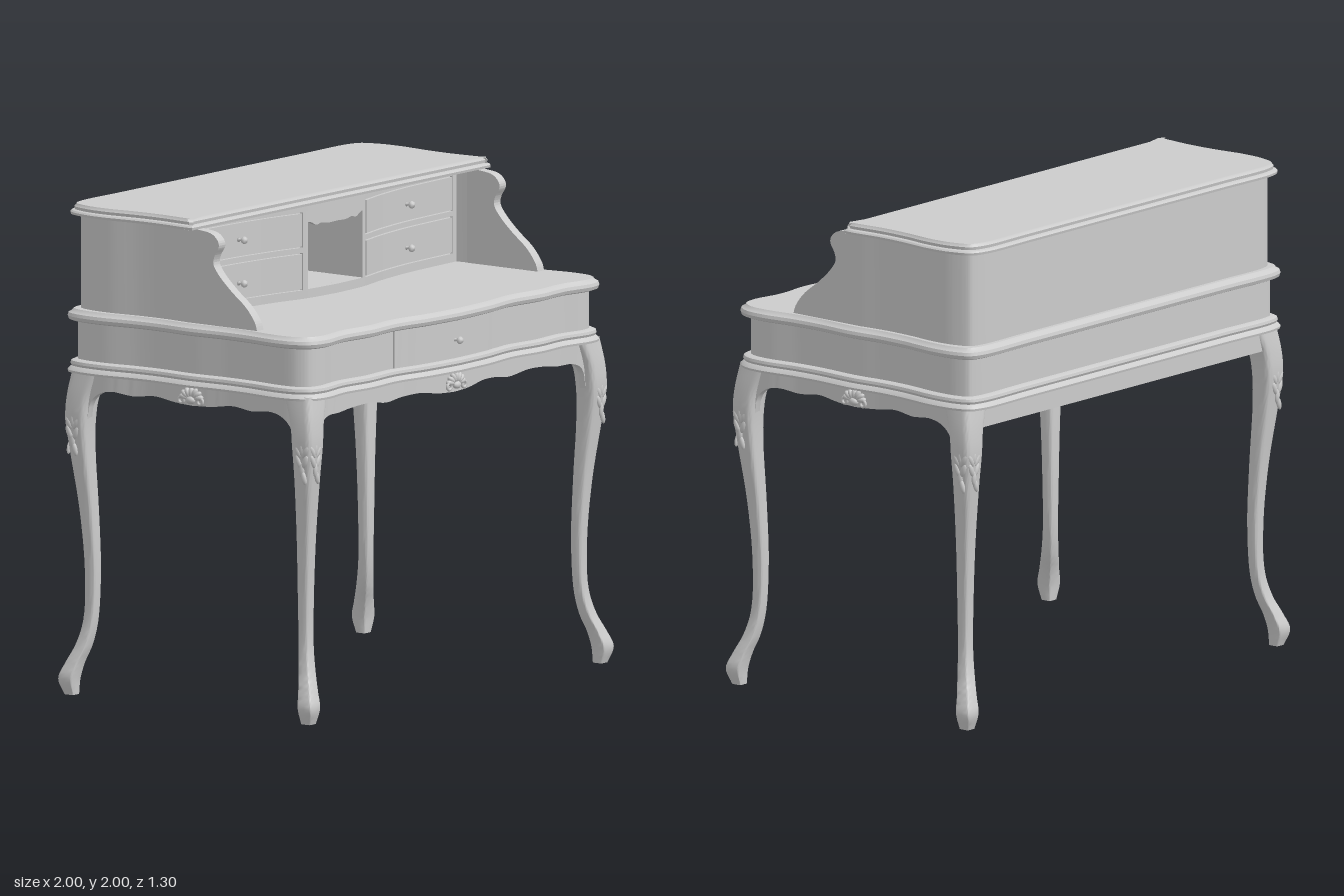
import * as THREE from 'three';
import { toCreasedNormals } from 'three/addons/utils/BufferGeometryUtils.js';

const material = new THREE.MeshStandardMaterial({ color: 0xcccccc, side: THREE.DoubleSide });
const V3 = (x, y, z) => new THREE.Vector3(x, y, z);

function add(parent, name, geometry, x = 0, y = 0, z = 0) {
  const mesh = new THREE.Mesh(geometry, material);
  mesh.name = name;
  mesh.position.set(x, y, z);
  parent.add(mesh);
  return mesh;
}

// Skin over closed rings of equal length, listed from the bottom up
function loft(rings, crease = 0.5) {
  const n = rings[0].length, index = [];
  for (let i = 0; i < rings.length - 1; i++)
    for (let j = 0; j < n; j++) {
      const a = i * n + j, b = i * n + (j + 1) % n;
      index.push(a, b, b + n, a, b + n, a + n);
    }
  const g = new THREE.BufferGeometry().setFromPoints(rings.flat());
  g.setIndex(index);
  return toCreasedNormals(g, crease);
}

// Box whose vertices are mapped by a rule from (u along, v up, w outward)
function board(n, rule) {
  const g = new THREE.BoxGeometry(1, 1, 1, n, 1, 1);
  const p = g.attributes.position;
  for (let i = 0; i < p.count; i++)
    p.setXYZ(i, ...rule(p.getX(i) + 0.5, p.getY(i) + 0.5, p.getZ(i) + 0.5));
  g.computeVertexNormals();
  return g;
}

// Height (or depth) as a smooth function through [x, y] pairs
function curveFunction(pairs) {
  const pts = new THREE.CatmullRomCurve3(pairs.map(([x, y]) => V3(x, y, 0)), false, 'centripetal').getPoints(80);
  return x => {
    const k = Math.max(1, pts.findIndex(p => p.x >= x));
    const a = pts[k - 1], b = pts[k];
    return a.y + (b.y - a.y) * THREE.MathUtils.clamp((x - a.x) / (b.x - a.x), 0, 1);
  };
}

// Plan outlines: half from front centre round to back centre, then mirrored
const side = [[.985, 0], [.975, -.15], [.978, -.27]], back = [[.6, -.645], [0, -.645]];
const spline = (ctrl, n) => new THREE.CatmullRomCurve3(ctrl.map(([x, z]) => V3(x, 0, z)), false, 'centripetal').getPoints(n);
const mirrored = half => [...half, ...half.slice(1, -1).reverse().map(p => V3(-p.x, 0, p.z))];
const deskHalf = spline([[0, .645], [.2, .633], [.38, .609], [.56, .622], [.72, .61], [.87, .629], [.945, .608], [.986, .55], [.997, .46], [.98, .3], [.976, .18],
  ...side, [.997, -.44], [.99, -.555], [.962, -.62], [.9, -.645], ...back], 240);
const deskOutline = mirrored(deskHalf);
const topOutline = mirrored([...[0, .2, .4, .6, .8, .93].map(x => V3(x, 0, .028)),
  ...spline([[.98, .028], ...side, [.993, -.42], [.985, -.53], [.95, -.615], [.88, -.643], ...back], 100)]);
const frontZ = x => deskHalf.find(p => p.x >= Math.abs(x) - 1e-6).z;
const sideX = z => deskHalf.find(p => p.x > .9 && p.z <= z).x;

// Outline moved inward by d at height y
function inset(outline, d, y) {
  const n = outline.length;
  return outline.map((p, i) => {
    const t = outline[(i + 1) % n].clone().sub(outline[(i + n - 1) % n]).normalize();
    return V3(p.x + t.z * d, y, p.z - t.x * d);
  });
}
const sweep = (outline, profile) => loft(profile.map(([d, y]) => inset(outline, d, y)));
const capped = (outline, profile) => {
  const rings = profile.map(([d, y]) => inset(outline, d, y));
  const centre = y => outline.map(() => V3(0, y, -.2));
  return loft([centre(profile[0][1]), ...rings, centre(profile.at(-1)[1])]);
};

// Upright wall along the part of an outline that passes the keep test, open at the front
function openWall(outline, outer, inner, height, keep) {
  const edge = d => inset(outline, d, 0).filter((p, i) => keep(outline[i])).map(p => new THREE.Vector2(p.x, -p.z));
  const shape = new THREE.Shape([...edge(outer), ...edge(inner).reverse()]);
  const g = new THREE.ExtrudeGeometry(shape, { depth: height, bevelEnabled: false });
  return toCreasedNormals(g.rotateX(-Math.PI / 2), .6);
}

function knob(parent, x, y, z) {
  const profile = [[0, 0], [.012, 0], [.006, .006], [.005, .018], [.013, .023], [.016, .03], [.012, .038], [0, .042]];
  const g = new THREE.LatheGeometry(profile.map(p => new THREE.Vector2(...p)), 16);
  add(parent, 'knob', g.rotateX(Math.PI / 2), x, y, z);
}

// Carved fan of lobes, facing +z
function shell() {
  const group = new THREE.Group();
  group.name = 'carvedShell';
  for (let i = -3; i <= 3; i++) {
    const a = i * .47;
    const lobe = add(group, 'shellLobe', new THREE.SphereGeometry(1, 12, 8), Math.sin(a) * .037, Math.cos(a) * .024, 0);
    lobe.scale.set(.012, .023, .014);
    lobe.rotation.z = -a;
  }
  add(group, 'shellHeart', new THREE.SphereGeometry(1, 12, 8), 0, -.008, .005).scale.set(.022, .016, .014);
  for (const s of [-1, 1])
    add(group, 'shellScroll', new THREE.TorusGeometry(.013, .006, 8, 16), s * .048, -.01, .004);
  return group;
}

// Carved leaf spray for a leg knee, facing +z
function kneeCarving() {
  const group = new THREE.Group();
  group.name = 'kneeCarving';
  const leaves = [[0, .055, 0], [-.018, .045, .5], [.018, .045, -.5], [-.016, .005, .4], [.016, .005, -.4], [0, -.03, 0], [.01, -.06, .3]];
  for (const [x, y, a] of leaves) {
    const leaf = add(group, 'carvedLeaf', new THREE.SphereGeometry(1, 10, 8), x, y, 0);
    leaf.scale.set(.012, .03, .009);
    leaf.rotation.z = a;
  }
  return group;
}

// Curved leg in the corner (sx, sz); stations hold outer distance, height, inner distance
function leg(sx, sz) {
  const group = new THREE.Group();
  group.name = 'leg';
  const stations = [[.02, 0, .065], [.001, .065, .07], [.022, .13, .083], [.05, .2, .105], [.072, .3, .122], [.076, .5, .13], [.06, .75, .125],
    [.03, 1, .117], [.016, 1.13, .12], [.02, 1.22, .132], [.035, 1.33, .175]];
  const path = new THREE.CatmullRomCurve3(stations.map(s => V3(...s)), false, 'centripetal').getPoints(50);
  const ring = (o, y, i) => Array.from({ length: 32 }, (_, k) => {
    const a = k / 32 * Math.PI * 2, c = Math.cos(a), s = Math.sin(a), r = (i - o) / 2, m = (i + o) / 2;
    const e = .2 + .25 * THREE.MathUtils.smoothstep(y, .1, .4);
    return V3(sx * (1 - m) + r * Math.sign(c) * Math.abs(c) ** e, y, sz * (.645 - m) - r * Math.sign(s) * Math.abs(s) ** e);
  });
  const rings = path.map(p => ring(p.x, p.y, p.z));
  add(group, 'legShaft', loft([ring(.0425, 0, .0425), ...rings], .7));
  const a = kneeCarving(), b = kneeCarving();
  a.position.set(sx * .938, 1.065, sz * .622);
  a.rotation.y = sz > 0 ? 0 : Math.PI;
  b.position.set(sx * .977, 1.065, sz * .583);
  b.rotation.y = sx * Math.PI / 2;
  group.add(a, b);
  return group;
}

export function createModel() {
  const model = new THREE.Group();
  model.name = 'writingDesk';

  for (const sx of [-1, 1]) for (const sz of [-1, 1]) model.add(leg(sx, sz));

  // Scalloped aprons and their carved shells
  const frontEdge = curveFunction([[0, 1.23], [.1, 1.235], [.2, 1.25], [.3, 1.247], [.4, 1.235], [.52, 1.252], [.62, 1.248], [.72, 1.235], [.8, 1.235], [.85, 1.215], [.875, 1.17], [.885, 1.1]]);
  const sideEdge = curveFunction([[0, 1.235], [.1, 1.24], [.2, 1.252], [.3, 1.242], [.4, 1.252], [.46, 1.24], [.5, 1.21], [.52, 1.17], [.53, 1.1]]);
  const rise = (low, v) => low + (1.33 - low) * v;
  add(model, 'frontApron', board(120, (u, v, w) => {
    const x = (u - .5) * 1.77;
    return [x, rise(frontEdge(Math.abs(x)), v), frontZ(x) - .07 + .03 * w];
  }));
  add(model, 'backApron', board(1, (u, v, w) => [(.5 - u) * 1.77, rise(1.23, v), -.575 - .03 * w]));
  const frontShell = shell();
  frontShell.position.set(0, 1.267, .61);
  model.add(frontShell);
  for (const s of [-1, 1]) {
    add(model, 'sideApron', board(90, (u, v, w) => {
      const z = -s * (u - .5) * 1.06;
      return [s * (sideX(z) - .07 + .03 * w), rise(sideEdge(Math.abs(z)), v), z];
    }));
    const sideShell = shell();
    sideShell.position.set(s * .95, 1.267, 0);
    sideShell.rotation.y = s * Math.PI / 2;
    model.add(sideShell);
  }

  // Hollow drawer case with mouldings below and the writing top above
  add(model, 'lowerMoulding', sweep(deskOutline, [[.075, 1.315], [.002, 1.315], [0, 1.324], [.008, 1.334], [.016, 1.34], [.011, 1.35], [.014, 1.361], [.026, 1.367], [.075, 1.367], [.075, 1.315]]));
  add(model, 'drawerCase', openWall(deskOutline, .042, .07, .17, p => p.z < .5 || Math.abs(p.x) > .352), 0, 1.362, 0);
  add(model, 'writingTop', capped(deskOutline, [[.05, 1.522], [.02, 1.524], [.005, 1.53], [0, 1.544], [.004, 1.557], [.016, 1.563], [.024, 1.573]]));
  add(model, 'deskDrawer', board(40, (u, v, w) => {
    const x = (u - .5) * .71;
    return [x, 1.365 + .16 * v, frontZ(x) - .068 + .03 * w];
  }));
  knob(model, 0, 1.442, .602);

  // Upper cabinet: wrapped side and back wall, shaped side wings, moulded top
  add(model, 'cabinetWall', openWall(topOutline, .042, .08, .395, p => p.z < -.005), 0, 1.568, 0);

  const wing = new THREE.Shape();
  wing.moveTo(-.03, 1.568);
  wing.lineTo(.33, 1.568);
  wing.splineThru([[.315, 1.61], [.27, 1.665], [.2, 1.72], [.14, 1.775], [.108, 1.82], [.112, 1.855], [.134, 1.895], [.125, 1.925], [.09, 1.948], [.02, 1.957]].map(p => new THREE.Vector2(...p)));
  wing.lineTo(-.03, 1.96);
  const wingGeometry = toCreasedNormals(new THREE.ExtrudeGeometry(wing, { depth: .043, bevelEnabled: false, curveSegments: 50 }).rotateY(-Math.PI / 2), .6);
  for (const s of [-1, 1]) add(model, 'sideWing', wingGeometry, s > 0 ? .943 : -.9, 0, 0);
  add(model, 'cabinetTop', capped(topOutline, [[.045, 1.955], [.002, 1.957], [0, 1.967], [.006, 1.973], [.018, 1.976], [.016, 1.988], [.022, 1.994], [.025, 2]]));

  // Serpentine cabinet face: backing, rails and stiles with narrow seams around four drawers
  const faceCurve = curveFunction([[0, .008], [.18, -.004], [.35, -.04], [.55, -.068], [.72, -.078], [.93, -.085]]);
  const facePanel = (name, x0, x1, low, high, out = 0, depth = .03) => add(model, name, board(40, (u, v, w) => {
    const x = x0 + (x1 - x0) * u, b = typeof low === 'function' ? low(Math.abs(x)) : low;
    return [x, b + (high - b) * v, faceCurve(Math.abs(x)) + out - depth * (1 - w)];
  }));
  for (const s of [-1, 1]) {
    const span = (name, a, b, ...rest) => facePanel(name, s > 0 ? a : -b, s > 0 ? b : -a, ...rest);
    span('faceBacking', .18, .91, 1.568, 1.96, -.015, .015);
    for (const [low, high] of [[1.568, 1.608], [1.761, 1.782], [1.926, 1.96]]) span('faceRail', .18, .91, low, high);
    span('innerStile', .18, .206, 1.6, 1.93);
    span('outerStile', .874, .91, 1.6, 1.93);
    for (const [low, high] of [[1.613, 1.756], [1.787, 1.921]]) {
      span('smallDrawer', .211, .869, low, high);
      knob(model, s * .55, (low + high) / 2 - (low > 1.7 ? 0 : .008), faceCurve(.55) - .002);
    }
    add(model, 'nicheSide', new THREE.BoxGeometry(.015, .35, .52), s * .188, 1.745, -.29);
  }

  // Open central niche under a shaped valance
  const valanceEdge = curveFunction([[0, 1.868], [.06, 1.866], [.1, 1.872], [.13, 1.866], [.16, 1.88], [.19, 1.886]]);
  facePanel('nicheValance', -.18, .18, valanceEdge, 1.96, 0, .02);
  facePanel('nicheSill', -.18, .18, 1.568, 1.61);
  add(model, 'nicheFloor', new THREE.BoxGeometry(.37, .015, .52), 0, 1.602, -.285);
  add(model, 'nicheCeiling', new THREE.BoxGeometry(.37, .015, .52), 0, 1.91, -.285);
  add(model, 'nicheBack', new THREE.BoxGeometry(.37, .33, .015), 0, 1.76, -.54);
  return model;
}
